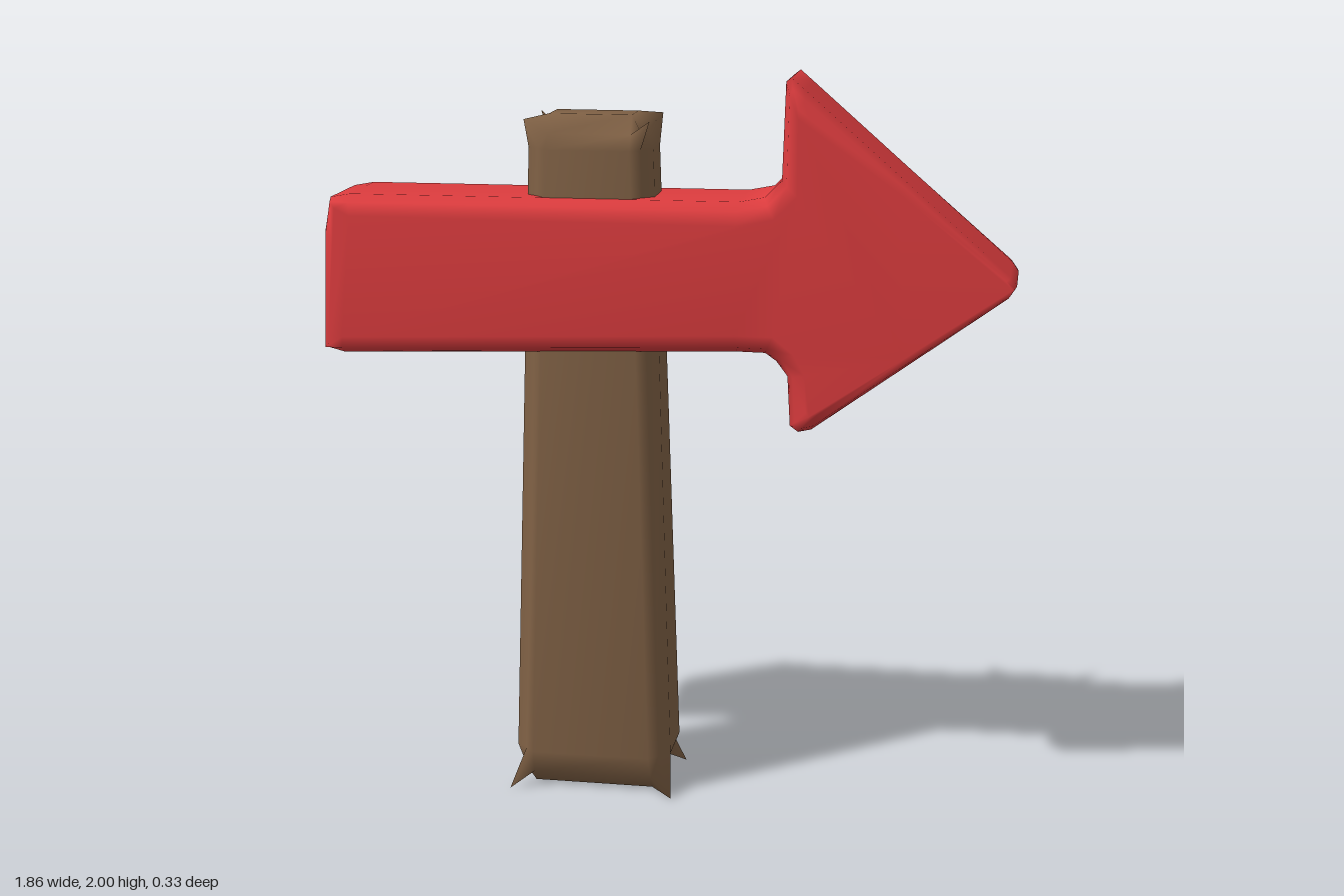
import * as THREE from 'three';
import { mergeVertices } from 'three/addons/utils/BufferGeometryUtils.js';

const red = new THREE.MeshStandardMaterial({ color: 0xdc3c3e });
red.name = 'red paint';
const brown = new THREE.MeshStandardMaterial({ color: 0x806145 });
brown.name = 'brown wood';

// Tapered post: edges are bevelled inwards while the eight corners stay pointed
function postGeometry() {
  let g = new THREE.BoxGeometry(2, 2, 2, 3, 3, 3);
  g.deleteAttribute('normal');
  g.deleteAttribute('uv');
  g = mergeVertices(g);
  const p = g.attributes.position;
  const H = 1.88;
  const bevel = 0.04;
  for (let i = 0; i < p.count; i++) {
    const c = [p.getX(i), p.getY(i), p.getZ(i)];
    const outer = c.map((v) => Math.abs(v) > 0.9);
    const s = c.map(Math.sign);
    const n = outer.filter(Boolean).length;
    // height first, then the width at that height
    let y = outer[1] ? (s[1] > 0 ? H : 0) : (s[1] > 0 ? H - 0.08 : 0.11);
    const t = y / H;
    const half = [0.222 - 0.056 * t, 0, 0.135 - 0.03 * t];
    const place = (k) => {
      let h = half[k];
      if (!outer[k]) h -= 0.055;
      else if (n === 2) h -= bevel * 0.75;
      else if (n === 3) h += s[1] > 0 ? 0.002 : 0.007;
      return s[k] * h;
    };
    if (outer[1] && n === 2) y -= s[1] * bevel;
    if (outer[1] && n === 1) y += s[1] > 0 ? 0.01 : -0.004 + 0.009;
    p.setXYZ(i, place(0) - 0.203, y, place(2));
  }
  g.computeVertexNormals();
  return g;
}

// Arrow board: each row is an outline point followed by its place on the flat face
const OUTLINE = [
  [-0.93, 1.25, -0.91, 1.27], [-0.88, 1.237, -0.87, 1.29],
  [0.2, 1.277, 0.2, 1.33], [0.275, 1.276, 0.3, 1.33],
  [0.305, 1.255, 0.355, 1.285], [0.335, 1.215, 0.385, 1.23],
  [0.343, 1.08, 0.39, 1.13], [0.365, 1.064, 0.4, 1.12],
  [0.4, 1.072, 0.42, 1.125], [0.66, 1.262, 0.645, 1.285],
  [0.91, 1.448, 0.9, 1.452], [0.927, 1.475, 0.917, 1.475],
  [0.91, 1.5, 0.9, 1.497], [0.64, 1.735, 0.625, 1.715],
  [0.37, 1.97, 0.385, 1.905], [0.335, 2.0, 0.36, 1.925],
  [0.322, 1.99, 0.36, 1.9], [0.314, 1.735, 0.36, 1.7],
  [0.27, 1.69, 0.3, 1.64], [0.2, 1.676, 0.2, 1.62],
  [-0.85, 1.672, -0.84, 1.62], [-0.905, 1.662, -0.88, 1.64],
  [-0.923, 1.57, -0.89, 1.56],
];
const LAYERS = [[-0.165, 1], [-0.148, 0.35], [-0.11, 0], [0.11, 0], [0.148, 0.35], [0.165, 1]];

function arrowGeometry() {
  const pos = [];
  const index = [];
  const n = OUTLINE.length;
  for (const [z, t] of LAYERS) {
    for (const [x, y, ix, iy] of OUTLINE) {
      pos.push(x + (ix - x) * t, y + (iy - y) * t, z);
    }
  }
  // rounded rim
  for (let l = 0; l < LAYERS.length - 1; l++) {
    for (let i = 0; i < n; i++) {
      const a = l * n + i;
      const b = l * n + ((i + 1) % n);
      index.push(a, b, b + n, a, b + n, a + n);
    }
  }
  // front and back faces
  const face = OUTLINE.map(([, , x, y]) => new THREE.Vector2(x, y));
  const front = (LAYERS.length - 1) * n;
  for (const [a, b, c] of THREE.ShapeUtils.triangulateShape(face, [])) {
    index.push(front + a, front + b, front + c, c, b, a);
  }
  const g = new THREE.BufferGeometry();
  g.setAttribute('position', new THREE.Float32BufferAttribute(pos, 3));
  g.setIndex(index);
  g.computeVertexNormals();
  return g;
}

export function createModel() {
  const group = new THREE.Group();
  group.name = 'arrowSign';
  const post = new THREE.Mesh(postGeometry(), brown);
  post.name = 'post';
  const board = new THREE.Mesh(arrowGeometry(), red);
  board.name = 'arrowBoard';
  group.add(post, board);
  return group;
}
